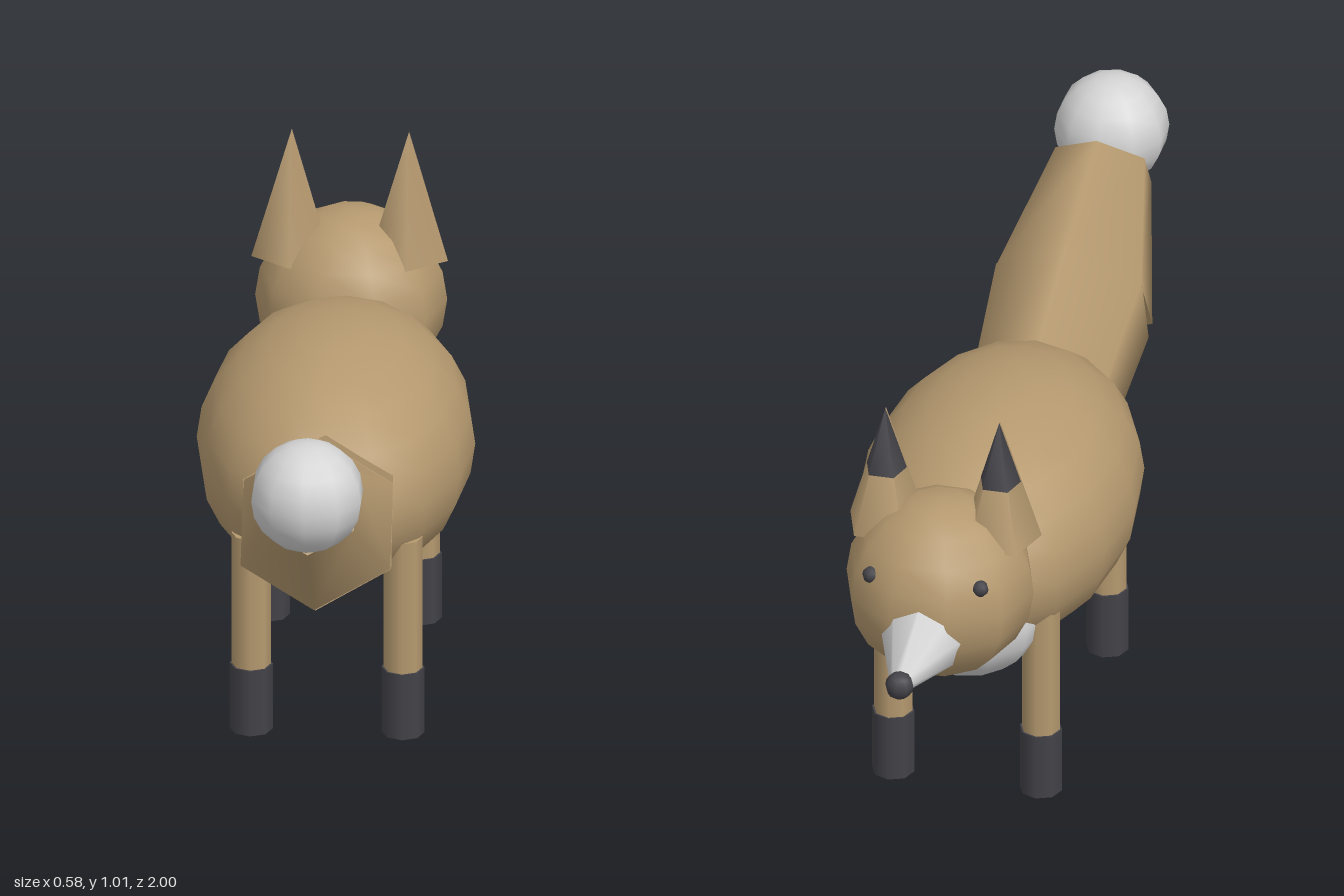
import * as THREE from 'three';

export function createModel() {
  const model = new THREE.Group();
  model.name = 'fox';

  const material = (name, color) => {
    const m = new THREE.MeshStandardMaterial({ color });
    m.name = name;
    return m;
  };
  const fur = material('tan fur', 0xb5996f);
  const pale = material('pale fur', 0xd4d4d4);
  const dark = material('dark fur', 0x424248);

  const add = (name, geometry, mat, x, y, z) => {
    const mesh = new THREE.Mesh(geometry, mat);
    mesh.name = name;
    mesh.position.set(x, y, z);
    model.add(mesh);
    return mesh;
  };
  // Tapered cylinder running from point a to point b in the middle plane, each [y, z]
  const taper = (name, mat, a, b, ra, rb, sides) => {
    const dy = b[0] - a[0], dz = b[1] - a[1];
    const mesh = add(name, new THREE.CylinderGeometry(rb, ra, Math.hypot(dy, dz), sides), mat,
      0, (a[0] + b[0]) / 2, (a[1] + b[1]) / 2);
    mesh.rotation.x = Math.atan2(dz, dy);
    return mesh;
  };

  // Body and chest
  add('body', new THREE.SphereGeometry(1, 16, 12), fur, 0, 0.525, -0.1).scale.set(0.29, 0.26, 0.455);
  add('chest', new THREE.SphereGeometry(1, 12, 10), pale, 0, 0.425, -0.375).scale.set(0.17, 0.15, 0.165);

  // Head, snout and nose, facing -z
  add('head', new THREE.SphereGeometry(0.2, 10, 10), fur, 0, 0.62, -0.615);
  taper('snout', pale, [0.575, -0.7], [0.575, -0.97], 0.112, 0.02, 8);
  add('nose', new THREE.SphereGeometry(0.03, 8, 8), dark, 0, 0.575, -0.97);

  // Paired parts
  for (const [side, s] of [['left', 1], ['right', -1]]) {
    add(side + 'Eye', new THREE.SphereGeometry(0.018, 8, 6), dark, s * 0.117, 0.693, -0.743);
    // Five-sided ears with a dark tip set slightly forward
    add(side + 'Ear', new THREE.ConeGeometry(0.087, 0.28, 5), fur, s * 0.122, 0.87, -0.59);
    add(side + 'EarTip', new THREE.ConeGeometry(0.045, 0.145, 5), dark, s * 0.122, 0.9375, -0.596);
    // Legs with dark socks
    for (const [end, z] of [['Front', -0.38], ['Back', 0.2]]) {
      add(side + end + 'Leg', new THREE.CylinderGeometry(0.041, 0.041, 0.345, 8), fur, s * 0.158, 0.2725, z);
      add(side + end + 'Sock', new THREE.CylinderGeometry(0.045, 0.045, 0.148, 8), dark, s * 0.158, 0.074, z);
    }
  }

  // Tail: two six-sided sections and a round tip
  taper('tailBase', fur, [0.52, 0.25], [0.62, 0.537], 0.16, 0.18, 6);
  taper('tailEnd', fur, [0.625, 0.55], [0.79, 0.808], 0.18, 0.11, 6);
  add('tailTip', new THREE.SphereGeometry(0.12, 10, 10), pale, 0, 0.84, 0.88).rotation.y = Math.PI / 2;

  return model;
}
